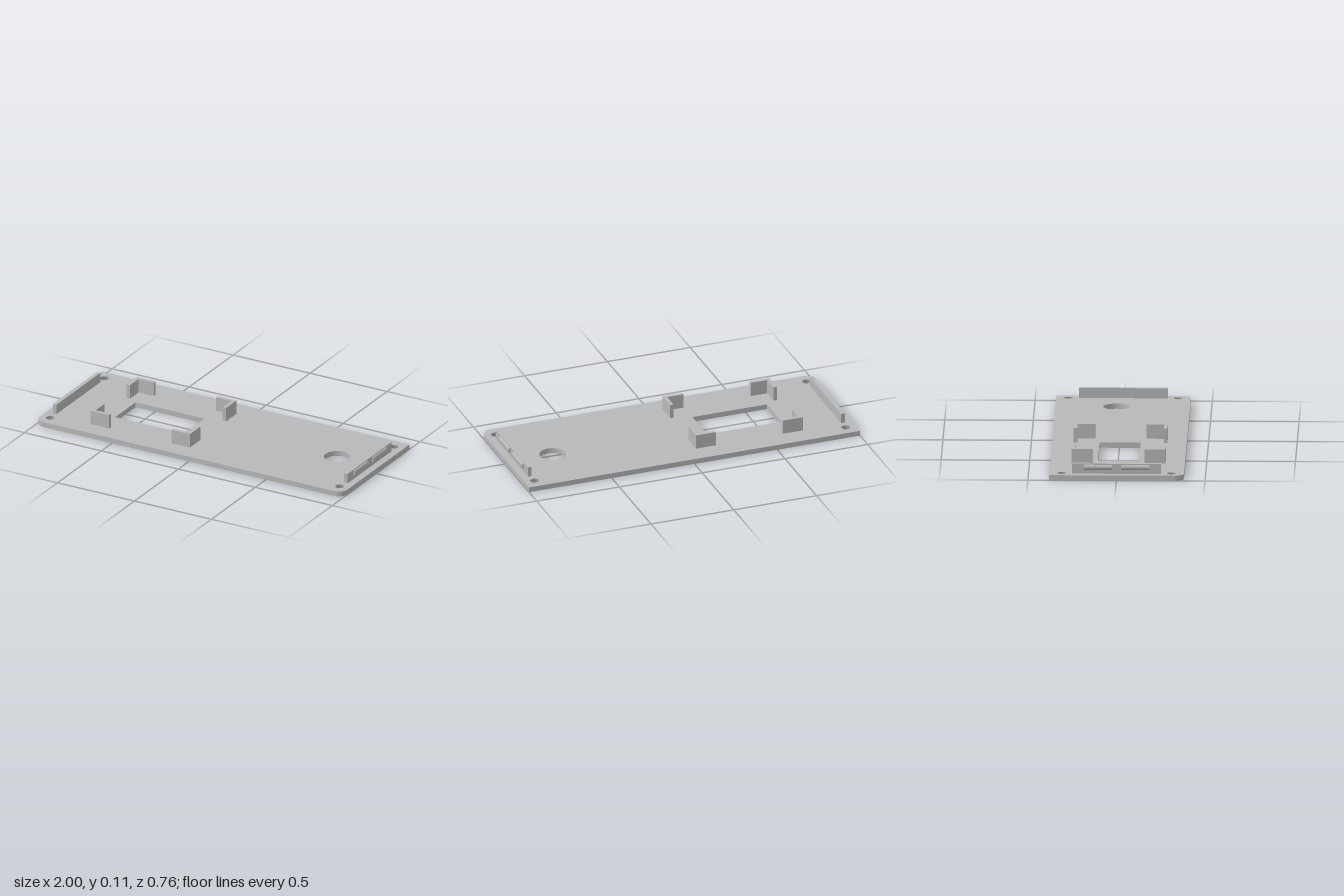
import * as THREE from 'three';
import { toCreasedNormals } from 'three/addons/utils/BufferGeometryUtils.js';

const PLATE = 0.03; // plate thickness
const SCREWS = [[-0.94, -0.31], [0.94, -0.31], [-0.94, 0.31], [0.94, 0.31]];

// Extrude a plan drawn in (x, -z) upwards from y
function extrudeUp(shape, y, height) {
  const g = new THREE.ExtrudeGeometry(shape, { depth: height, bevelEnabled: false, curveSegments: 24 });
  return g.rotateX(-Math.PI / 2).translate(0, y, 0);
}

function polygon(points, Type = THREE.Shape) {
  return new Type(points.map(([x, z]) => new THREE.Vector2(x, -z)));
}

function circleHole(x, z, r) {
  const p = new THREE.Path();
  p.absarc(x, -z, r, 0, Math.PI * 2, true);
  return p;
}

// Plate with rounded front corners, a window, a round hole and countersunk screw holes
function plateGeometry() {
  const w = 1, d = 0.38, r = 0.055;
  const s = new THREE.Shape();
  s.moveTo(-w, d);
  s.lineTo(-w, -d + r);
  s.absarc(-w + r, -d + r, r, Math.PI, Math.PI * 1.5, false);
  s.lineTo(w - r, -d);
  s.absarc(w - r, -d + r, r, Math.PI * 1.5, Math.PI * 2, false);
  s.lineTo(w, d);
  s.closePath();
  s.holes.push(polygon([[-0.627, -0.113], [-0.177, -0.113], [-0.177, 0.12], [-0.627, 0.12]], THREE.Path));
  s.holes.push(circleHole(0.726, -0.035, 0.075));
  for (const [x, z] of SCREWS) s.holes.push(circleHole(x, z, 0.025));

  const g = extrudeUp(s, 0, PLATE);
  // Widen the screw holes at the underside
  const p = g.attributes.position;
  for (let i = 0; i < p.count; i++) {
    if (p.getY(i) > 0.001) continue;
    for (const [x, z] of SCREWS) {
      const dx = p.getX(i) - x, dz = p.getZ(i) - z;
      if (Math.hypot(dx, dz) < 0.027) {
        p.setX(i, x + dx * 1.36);
        p.setZ(i, z + dz * 1.36);
      }
    }
  }
  return toCreasedNormals(g, 0.5);
}

export function createModel() {
  const group = new THREE.Group();
  const grey = new THREE.MeshStandardMaterial({ color: 0xb8b8b8 });
  grey.name = 'grey plastic';

  function add(name, geometry, parent = group) {
    const m = new THREE.Mesh(geometry, grey);
    m.name = name;
    parent.add(m);
    return m;
  }

  add('plate', plateGeometry());

  // Four L-shaped corner brackets around the window
  const arm = 0.12, t = 0.021;
  for (const [x, sx] of [[-0.7, 1], [-0.055, -1]]) {
    for (const [z, sz] of [[-0.259, 1], [0.271, -1]]) {
      const plan = [[0, 0], [arm, 0], [arm, t], [t, t], [t, arm], [0, arm]]
        .map(([a, b]) => [x + sx * a, z + sz * b]);
      add('cornerBracket', extrudeUp(polygon(plan), PLATE, 0.083));
    }
  }

  // Snap walls at both ends, each with two rounded ridges outside
  for (const side of [1, -1]) {
    const clip = new THREE.Group();
    clip.name = side > 0 ? 'leftClip' : 'rightClip';
    group.add(clip);
    add('clipWall', new THREE.BoxGeometry(0.023, 0.058, 0.501).translate(side * 0.9465, 0.059, 0), clip);
    for (const z of [-0.106, 0.106]) {
      const ridge = new THREE.CylinderGeometry(0.015, 0.015, 0.158, 32);
      ridge.rotateX(Math.PI / 2).scale(0.8, 1, 1).translate(side * 0.957, 0.067, z);
      add('clipRidge', ridge, clip);
    }
  }
  return group;
}
